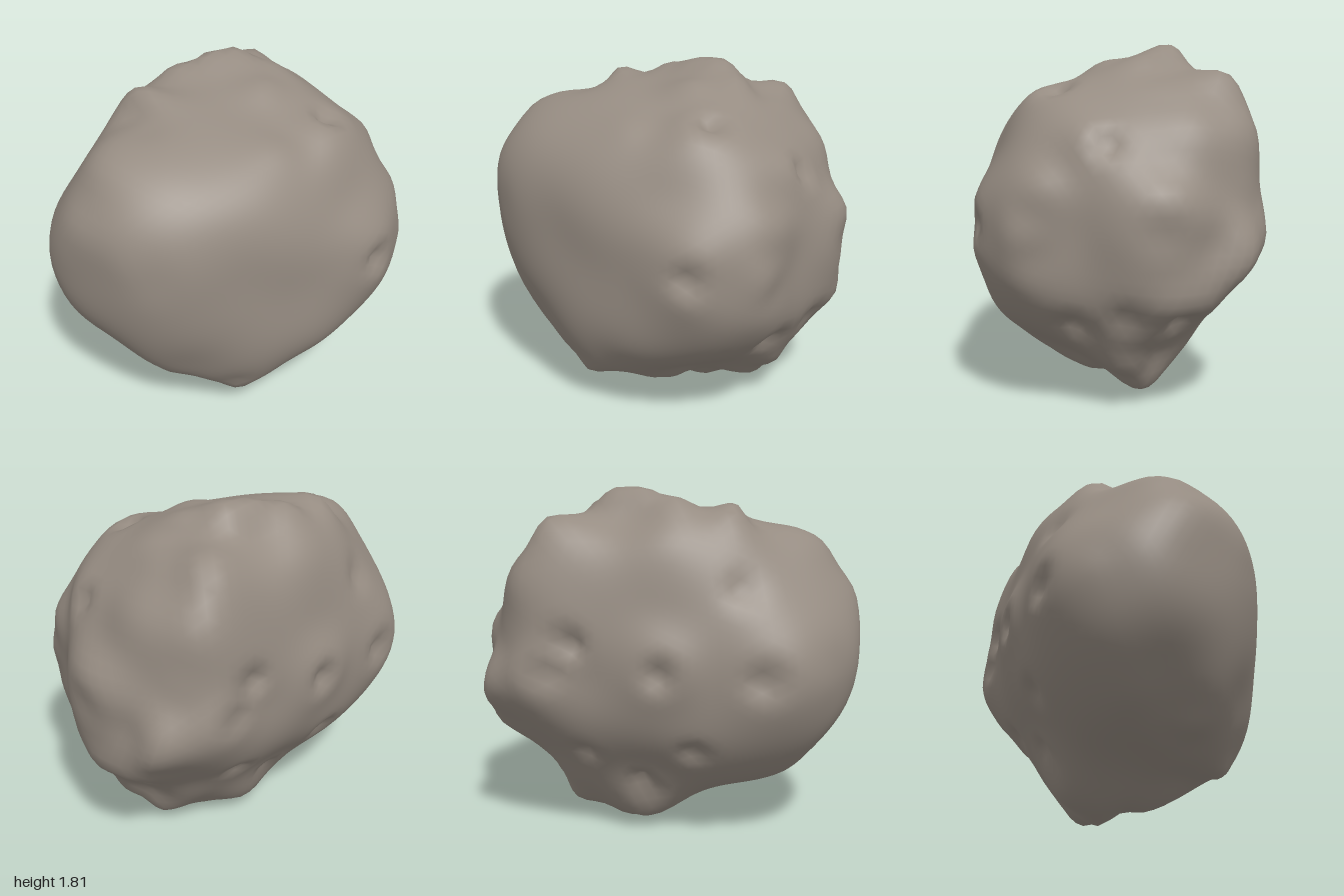
import * as THREE from 'three';
import { mergeVertices } from 'three/addons/utils/BufferGeometryUtils.js';

const CENTRE_Y = 0.935;

// Outlines of the rock across six planes: [across, up], counter-clockwise
const frontOutline = [[0.99, 0.97], [0.98, 1.12], [0.88, 1.22], [0.82, 1.4], [0.7, 1.54], [0.6, 1.65], [0.5, 1.67],
  [0.38, 1.76], [0.3, 1.84], [0.15, 1.87], [0.05, 1.8], [-0.05, 1.76], [-0.2, 1.74], [-0.45, 1.65], [-0.72, 1.56],
  [-0.9, 1.4], [-0.98, 1.28], [-1, 1.12], [-0.97, 0.8], [-0.9, 0.65], [-0.8, 0.53], [-0.63, 0.36], [-0.5, 0.3],
  [-0.4, 0.2], [-0.2, 0.2], [0, 0.08], [0.14, 0.01], [0.34, 0], [0.5, 0.07], [0.65, 0.17], [0.68, 0.28],
  [0.8, 0.45], [0.95, 0.56], [0.94, 0.7], [0.98, 0.82]].map(([x, y]) => [x, y - CENTRE_Y]);
const sideOutline = [[0.24, 1.87], [0.33, 1.85], [0.4, 1.74], [0.48, 1.73], [0.6, 1.58], [0.64, 1.42],
  [0.68, 1.2], [0.71, 1.15], [0.74, 0.95], [0.71, 0.8], [0.63, 0.56], [0.55, 0.46], [0.45, 0.33],
  [0.4, 0.17], [0.3, 0.08], [0.19, 0], [0.08, 0], [0, 0.08], [-0.15, 0.07], [-0.25, 0.14], [-0.4, 0.2],
  [-0.5, 0.32], [-0.63, 0.48], [-0.69, 0.66], [-0.75, 0.83], [-0.74, 1], [-0.7, 1.12], [-0.6, 1.28], [-0.52, 1.47],
  [-0.45, 1.57], [-0.32, 1.63], [-0.2, 1.65], [0, 1.75]].reverse().map(([z, y]) => [z, y - CENTRE_Y]);
const topOutline = [[1, 0.21], [0.93, 0.35], [0.93, 0.5], [0.78, 0.61], [0.6, 0.71], [0.45, 0.67],
  [0.28, 0.68], [0.1, 0.72], [-0.1, 0.75], [-0.3, 0.7], [-0.6, 0.71], [-0.75, 0.64], [-0.9, 0.48],
  [-0.96, 0.39], [-1, 0.2], [-0.95, -0.08], [-0.87, -0.24], [-0.7, -0.41], [-0.4, -0.53], [-0.1, -0.63],
  [0.12, -0.7], [0.35, -0.74], [0.55, -0.67], [0.75, -0.46], [0.8, -0.27], [0.9, -0.15], [0.97, 0]];
// Slanted planes, in 1/170 units
const slant = (points) => points.map(([a, b]) => [a / 170, b / 170]);
const frontSlant = slant([[180, -21], [161, 18], [158, 43], [152, 96], [124, 122], [82, 132], [74, 147], [51, 158],
  [39, 155], [25, 159], [-25, 156], [-80, 142], [-113, 120], [-139, 89], [-145, 33], [-136, -22], [-113, -72],
  [-86, -115], [-48, -132], [-16, -144], [17, -149], [54, -165], [92, -147], [96, -122], [128, -101], [132, -84],
  [154, -77], [170, -49]]);
const backSlant = slant([[146, 5], [140, 48], [121, 77], [86, 101], [47, 120], [26, 121], [-14, 140], [-36, 135],
  [-68, 140], [-78, 127], [-118, 116], [-149, 85], [-163, 45], [-159, 30], [-180, -4], [-172, -24], [-136, -62],
  [-101, -102], [-94, -120], [-81, -127], [-56, -144], [-38, -148], [4, -139], [28, -129], [74, -121], [104, -107],
  [126, -75], [140, -35]]);
const underSlant = slant([[170, -7], [168, 23], [151, 53], [128, 86], [111, 111], [72, 139], [26, 160], [5, 170],
  [-14, 164], [-44, 159], [-63, 149], [-66, 136], [-104, 105], [-131, 81], [-134, 58], [-149, 33], [-153, 3],
  [-149, -37], [-134, -65], [-114, -84], [-84, -105], [-36, -127], [18, -151], [69, -129], [106, -107], [141, -77],
  [164, -42]]);

// Axes of a plane seen along a direction
function plane(...facing) {
  const out = new THREE.Vector3(...facing).normalize();
  const pole = Math.abs(out.y) > 0.9 ? new THREE.Vector3(0, 0, -1) : new THREE.Vector3(0, 1, 0);
  const across = new THREE.Vector3().crossVectors(pole, out).normalize();
  return { out, across, up: new THREE.Vector3().crossVectors(out, across) };
}

// Craters on each plane: [across, up, angular size, depth]
const faces = [
  { ...plane(0, 0, 1), points: frontOutline,
    craters: [[0.32, 0, 0.12, 0.05], [0.66, -0.48, 0.13, 0.05]] },
  { ...plane(1, 0, 0), points: sideOutline,
    craters: [[0.23, -0.43, 0.11, 0.06], [0.15, 0, 0.18, 0.025], [0.37, -0.06, 0.18, 0.025],
      [-0.08, -0.4, 0.12, 0.03], [-0.15, 0.4, 0.1, 0.04]] },
  { ...plane(0, 1, 0), points: topOutline,
    craters: [[0.35, -0.33, 0.12, 0.06], [0.2, 0.28, 0.13, 0.02]] },
  { ...plane(0.546, 0.309, 0.779), points: frontSlant, craters: [] },
  { ...plane(-0.546, 0.309, -0.779), points: backSlant,
    craters: [[-0.39, -0.16, 0.14, 0.06], [0.02, 0.165, 0.13, 0.03], [0.02, -0.28, 0.12, 0.05],
      [-0.83, -0.1, 0.11, 0.04], [-0.33, -0.76, 0.12, 0.03]] },
  { ...plane(0.546, -0.309, -0.779), points: underSlant,
    craters: [[0.06, 0.4, 0.11, 0.06], [-0.02, -0.23, 0.1, 0.04], [0.51, -0.25, 0.12, 0.04],
      [0.18, -0.42, 0.09, 0.04]] },
];

// How far a 2D vector reaches towards an outline (1 = on it)
function reach(points, x, y) {
  for (let i = 0; i < points.length; i++) {
    const [px, py] = points[i];
    const [qx, qy] = points[(i + 1) % points.length];
    if (px * y - py * x >= 0 && x * qy - y * qx >= 0 && px * x + py * y > 0) {
      return (x * (qy - py) - y * (qx - px)) / (px * qy - py * qx);
    }
  }
  return 0;
}

// Scale the radii around one direction with a soft falloff
function swell(dirs, radii, centre, size, amount) {
  dirs.forEach((d, i) => {
    const gap = 2 - 2 * d.dot(centre);
    if (gap < 9 * size * size) radii[i] *= 1 + amount * Math.exp(-gap / (size * size));
  });
}

// Average the radii over their surroundings
function soften(dirs, radii, size) {
  const before = radii.slice();
  dirs.forEach((d, i) => {
    let sum = 0;
    let weight = 0;
    dirs.forEach((e, j) => {
      const gap = 2 - 2 * d.dot(e);
      if (gap > 4 * size * size) return;
      const w = Math.exp(-gap / (size * size));
      sum += w * before[j];
      weight += w;
    });
    radii[i] = sum / weight;
  });
}

function rockGeometry() {
  const ball = new THREE.IcosahedronGeometry(1, 19);
  ball.deleteAttribute('normal');
  ball.deleteAttribute('uv');
  const geometry = mergeVertices(ball, 1e-4);
  const position = geometry.attributes.position;
  const dirs = Array.from({ length: position.count },
    (_, i) => new THREE.Vector3().fromBufferAttribute(position, i).normalize());

  // Rounded body blended from all outlines
  const flats = faces.map(({ across, up }) => dirs.map((d) => [d.dot(across), d.dot(up)]));
  const gauges = faces.map(({ points }, k) => flats[k].map(([x, y]) => reach(points, x, y)));
  const radii = dirs.map((d, i) => Math.sqrt(
    faces.reduce((sum, { out }) => sum + 1 - d.dot(out) ** 2, 0) / gauges.reduce((sum, g) => sum + g[i] ** 2, 0)));
  soften(dirs, radii, 0.2);

  // Swell or shrink the rim softly until it meets each outline
  for (const size of [0.45, 0.4, 0.35, 0.3, 0.3, 0.25, 0.25, 0.2, 0.2, 0.2, 0.16, 0.16, 0.16, 0.13, 0.13, 0.13, 0.1, 0.1]) {
    faces.forEach(({ points }, k) => {
      for (const [px, py] of points) {
        let best = 0;
        let most = 0;
        flats[k].forEach(([x, y], i) => {
          const along = x * px + y * py;
          const off = Math.abs(x * py - y * px);
          if (along > 0 && off < 0.07 * along && radii[i] * gauges[k][i] > most) {
            most = radii[i] * gauges[k][i];
            best = i;
          }
        });
        swell(dirs, radii, dirs[best], size, 0.6 * (1 / most - 1));
      }
    });
  }

  // Press the craters, each with a slight raised rim
  for (const { out, across, up, craters } of faces) {
    for (const [a, b, size, depth] of craters) {
      let centre = out;
      let nearest = Infinity;
      dirs.forEach((d, i) => {
        const miss = Math.hypot(d.dot(across) * radii[i] - a, d.dot(up) * radii[i] - b);
        if (d.dot(out) > 0.1 && miss < nearest) {
          nearest = miss;
          centre = d;
        }
      });
      swell(dirs, radii, centre, size * 1.4, depth * 0.3);
      swell(dirs, radii, centre, size * 0.75, -depth * 1.6);
    }
  }

  dirs.forEach((d, i) => position.setXYZ(i, d.x * radii[i], d.y * radii[i] + CENTRE_Y, d.z * radii[i]));
  geometry.computeVertexNormals();
  return geometry;
}

export function createModel() {
  const stone = new THREE.MeshStandardMaterial({ color: 0x968c82 });
  stone.name = 'warm grey stone';
  const rock = new THREE.Mesh(rockGeometry(), stone);
  rock.name = 'rock';
  const group = new THREE.Group();
  group.name = 'asteroid';
  group.add(rock);
  return group;
}
